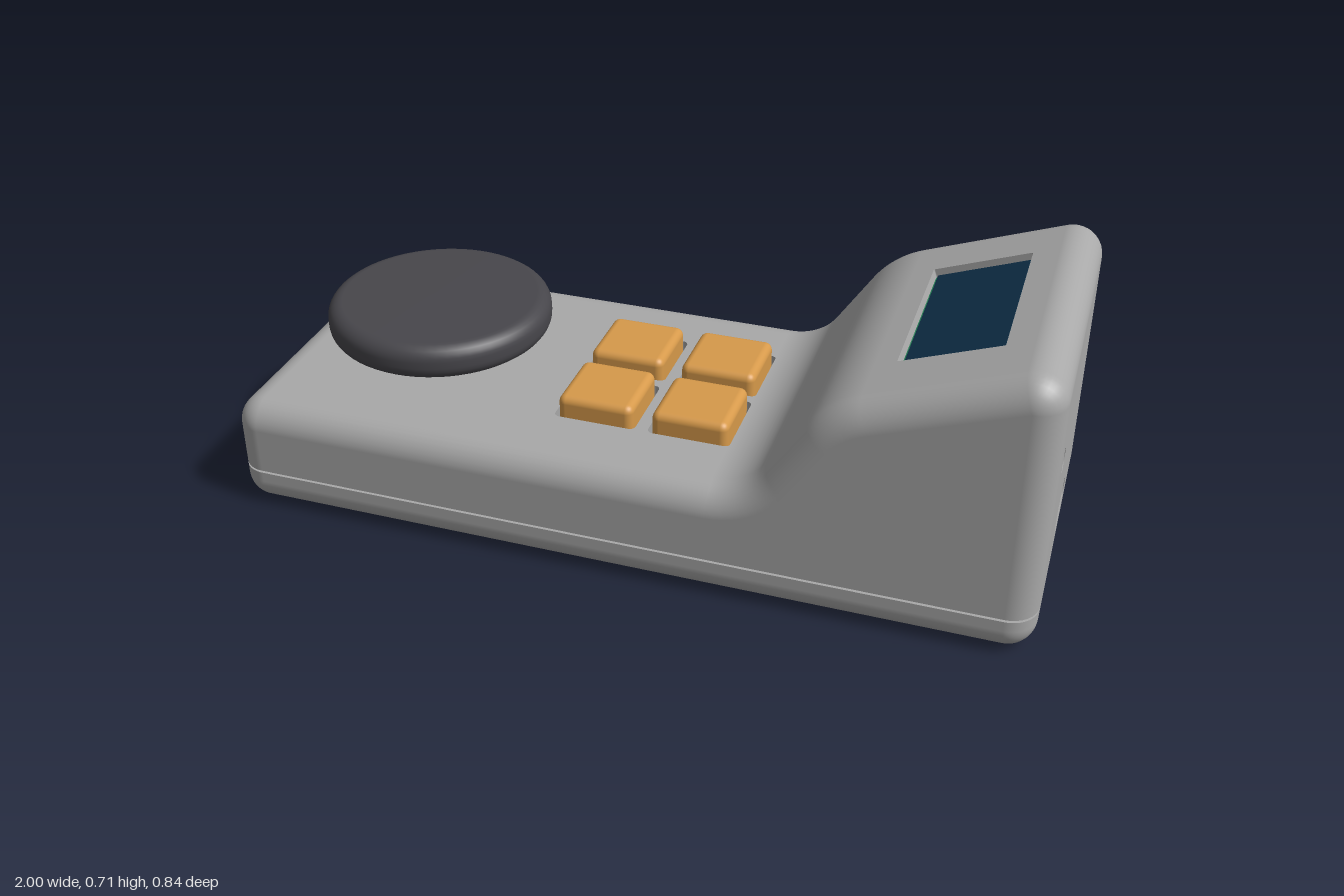
import * as THREE from 'three';
import { RoundedBoxGeometry } from 'three/addons/geometries/RoundedBoxGeometry.js';

const mat = (name, color, side = THREE.FrontSide) =>
  Object.assign(new THREE.MeshStandardMaterial({ color, side }), { name });

const CORE = 0.35, R = 0.07; // half depth of the flat middle, edge radius

// Polyline of [x, y, radius] with rounded corners
function roundedPath(corners, steps = 10) {
  const out = [];
  corners.forEach(([x, y, r], i) => {
    const p = new THREE.Vector2(x, y);
    if (!r) return out.push(p);
    const at = k => new THREE.Vector2(corners[k][0], corners[k][1]);
    const d1 = p.clone().sub(at(i - 1)).normalize();
    const d2 = at(i + 1).sub(p).normalize();
    const turn = Math.atan2(d1.cross(d2), d1.dot(d2));
    const start = p.clone().addScaledVector(d1, -r * Math.tan(Math.abs(turn) / 2));
    const s = Math.sign(turn) * r;
    const center = new THREE.Vector2(start.x - d1.y * s, start.y + d1.x * s);
    for (let k = 0; k <= steps; k++) out.push(start.clone().rotateAround(center, turn * k / steps));
  });
  return out;
}

function roundedRect(x0, x1, y0, y1, r, Type = THREE.Path) {
  const s = new Type();
  s.moveTo(x0 + r, y0);
  s.lineTo(x1 - r, y0);
  s.absarc(x1 - r, y0 + r, r, -Math.PI / 2, 0);
  s.absarc(x1 - r, y1 - r, r, 0, Math.PI / 2);
  s.absarc(x0 + r, y1 - r, r, Math.PI / 2, Math.PI);
  s.absarc(x0 + r, y0 + r, r, Math.PI, Math.PI * 1.5);
  return s;
}

// Outer skin swept along a clockwise side profile, with rounded front and back edges.
// The middle strip is left open on the segments listed in "open".
function shell(path, open = []) {
  const g = new THREE.BufferGeometry(), pos = [], nor = [], idx = [], n = 8, row = 2 * (n + 1);
  const inset = [];
  path.forEach((p, i) => {
    const a = path[Math.max(i - 1, 0)], b = path[Math.min(i + 1, path.length - 1)];
    const u = new THREE.Vector2();
    for (const d of [p.clone().sub(a), b.clone().sub(p)]) u.addScaledVector(d, d.length());
    u.normalize();
    const nx = -u.y, ny = u.x;
    inset.push(new THREE.Vector2(p.x - nx * R, p.y - ny * R));
    for (let j = 0; j < row; j++) {
      const back = j <= n;
      const t = (back ? j / n - 1 : (j - n - 1) / n) * Math.PI / 2;
      const c = Math.cos(t), s = Math.sin(t), o = R * (1 - c);
      pos.push(p.x - nx * o, p.y - ny * o, (back ? -CORE : CORE) + R * s);
      nor.push(nx * c, ny * c, s);
    }
  });
  for (let i = 0; i < path.length - 1; i++) for (let j = 0; j < row - 1; j++) {
    if (j === n && open.includes(i)) continue;
    const a = i * row + j, b = a + row;
    idx.push(a, a + 1, b, b, a + 1, b + 1);
  }
  g.setAttribute('position', new THREE.Float32BufferAttribute(pos, 3));
  g.setAttribute('normal', new THREE.Float32BufferAttribute(nor, 3));
  g.setIndex(idx);
  return { skin: g, cap: new THREE.ShapeGeometry(new THREE.Shape(inset)) };
}

// Flat wall with openings, filling the middle strip between two profile points
function panel(p, q, depth, holes) {
  const u = q.clone().sub(p), len = u.length();
  u.normalize();
  const s = roundedRect(0, len, -CORE, CORE, 0.0001, THREE.Shape);
  s.holes.push(...holes);
  const g = new THREE.ExtrudeGeometry(s, { depth, bevelEnabled: false, curveSegments: 32 });
  g.translate(0, 0, -depth);
  const m = new THREE.Matrix4().makeBasis(new THREE.Vector3(u.x, u.y, 0),
    new THREE.Vector3(0, 0, -1), new THREE.Vector3(-u.y, u.x, 0));
  return g.applyMatrix4(m.setPosition(p.x, p.y, 0));
}

export function createModel() {
  const root = new THREE.Group();
  root.name = 'handheldController';
  const grey = mat('casing grey', 0xa8a8a8, THREE.DoubleSide);
  const dark = mat('stick dark grey', 0x47464b);
  const orange = mat('button orange', 0xd6994a);
  const navy = mat('screen navy', 0x0d2d44);
  const green = mat('board green', 0x2a8a5c);
  const add = (name, geo, m, x = 0, y = 0, z = 0) => {
    const mesh = new THREE.Mesh(geo, m);
    mesh.name = name;
    mesh.position.set(x, y, z);
    root.add(mesh);
    return mesh;
  };
  const addShell = (name, { skin, cap }) => {
    add(name, skin, grey);
    for (const s of [1, -1]) add(name + (s > 0 ? 'Front' : 'Back'), cap, grey, 0, 0, s * (CORE + R));
  };

  // Upper casing: low deck, swept rise and sloped display head
  const top = roundedPath([[-1, 0.103], [-1, 0.29, R], [0.313, 0.29, 0.15],
    [0.491, 0.557, 0.24], [1, 0.74, R], [1, 0.103]]);
  const deck = 11, slope = 33, end = 44; // long straight segments of the profile
  addShell('upperCasing', shell(top, [deck, slope, end]));

  // Deck with stick well and button openings
  const stickX = -0.61, stickZ = -0.005;
  const d0 = top[deck], well = new THREE.Path();
  well.absarc(stickX - d0.x, -stickZ, 0.32, 0, Math.PI * 2);
  const buttons = [];
  for (const x of [-0.11, 0.13]) for (const z of [-0.12, 0.115]) buttons.push([x, z]);
  const buttonHoles = buttons.map(([x, z]) =>
    roundedRect(x - d0.x - 0.104, x - d0.x + 0.104, -z - 0.104, -z + 0.104, 0.015));
  add('deckPanel', panel(d0, top[deck + 1], 0.065, [well, ...buttonHoles]), grey);
  add('stickWellFloor', new THREE.CircleGeometry(0.325, 48).rotateX(-Math.PI / 2), grey, stickX, 0.226, stickZ);

  // Sloped display panel and recessed screen
  const s0 = top[slope], s1 = top[slope + 1];
  const tilt = Math.atan2(s1.y - s0.y, s1.x - s0.x), cos = Math.cos(tilt);
  add('displayPanel', panel(s0, s1, 0.03,
    [roundedRect((0.615 - s0.x) / cos, (0.845 - s0.x) / cos, -0.225, 0.235, 0.003)]), grey);
  const plate = (name, w, d, m, sink) => {
    const y = s0.y + (0.73 - s0.x) * Math.tan(tilt);
    add(name, new THREE.BoxGeometry(w, 0.008, d), m,
      0.73 + sink * Math.sin(tilt), y - sink * cos, -0.005).rotation.z = tilt;
  };
  plate('screenBoard', 0.25, 0.468, green, 0.026);
  plate('screen', 0.228, 0.444, navy, 0.018);

  // Side wall with cable port and small round hole
  const e0 = top[end], pin = new THREE.Path();
  pin.absarc(e0.y - 0.425, -0.235, 0.03, 0, Math.PI * 2);
  add('sidePanel', panel(e0, top[end + 1], 0.03,
    [roundedRect(e0.y - 0.18, e0.y - 0.111, -0.093, 0.093, 0.03), pin]), grey);

  // Lower casing and its lid, leaving a thin seam
  addShell('lowerCasing', shell(roundedPath([[1, 0.097], [1, 0, R], [-1, 0, R], [-1, 0.097]])));
  add('lowerCasingLid', new THREE.ShapeGeometry(roundedRect(-1, 1, -CORE - R, CORE + R, R, THREE.Shape))
    .rotateX(-Math.PI / 2), grey, 0, 0.097, 0);

  // Circuit board
  add('circuitBoard', new THREE.BoxGeometry(1.06, 0.014, 0.58), green, 0.42, 0.104, 0);

  // Four square buttons
  buttons.forEach(([x, z]) =>
    add('button', new RoundedBoxGeometry(0.192, 0.22, 0.192, 4, 0.02), orange, x, 0.231, z));

  // Thumb stick
  add('stickStem', new THREE.CylinderGeometry(0.055, 0.055, 0.14, 32), grey, stickX, 0.295, stickZ);
  const rim = [new THREE.Vector2(0, 0.352)];
  for (const [y, a0] of [[0.39, -90], [0.407, 0]]) for (let k = 0; k <= 6; k++) {
    const a = THREE.MathUtils.degToRad(a0 + k * 15);
    rim.push(new THREE.Vector2(0.249 + 0.038 * Math.cos(a), y + 0.038 * Math.sin(a)));
  }
  rim.push(new THREE.Vector2(0, 0.445));
  add('stickCap', new THREE.LatheGeometry(rim, 64), dark, stickX, 0, stickZ);

  return root;
}
